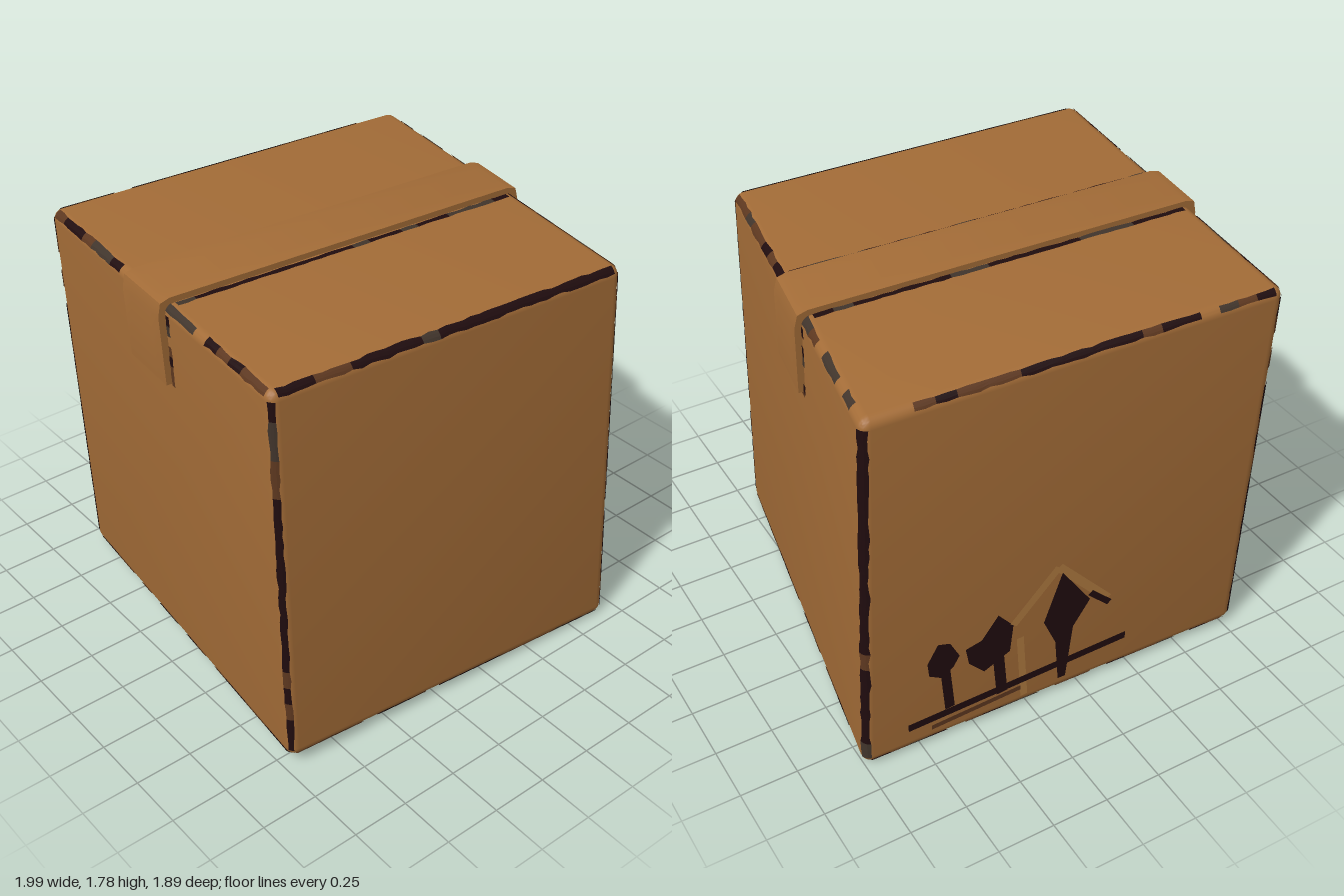
import * as THREE from 'three';
import { toCreasedNormals } from 'three/addons/utils/BufferGeometryUtils.js';
import { RoundedBoxGeometry } from 'three/addons/geometries/RoundedBoxGeometry.js';

const mat = (name, color, side = THREE.DoubleSide) => {
  const m = new THREE.MeshStandardMaterial({ color, side });
  m.name = name;
  return m;
};

// The eight corners of the crooked box: [x, y, z] by left/right, bottom/top, back/front
const corners = {
  '-1-1-1': [-0.79, 0.02, -0.94], '1-1-1': [1.01, 0.0, -0.87],
  '-11-1': [-0.84, 1.75, -0.95], '11-1': [0.95, 1.73, -0.87],
  '-1-11': [-0.98, 0.04, 0.82], '1-11': [0.68, 0.0, 0.945],
  '-111': [-0.99, 1.75, 0.77], '111': [0.67, 1.72, 0.86],
};

// Maps a point of the cube -1..1 into the crooked box
function warp(u, v, w) {
  const p = new THREE.Vector3();
  for (const i of [-1, 1]) for (const j of [-1, 1]) for (const k of [-1, 1]) {
    const c = corners[`${i}${j}${k}`];
    p.addScaledVector(new THREE.Vector3(...c), (1 + i * u) * (1 + j * v) * (1 + k * w) / 8);
  }
  return p;
}

function warpGeometry(geo) {
  const pos = geo.attributes.position;
  for (let i = 0; i < pos.count; i++) {
    const p = warp(pos.getX(i), pos.getY(i), pos.getZ(i));
    pos.setXYZ(i, p.x, p.y, p.z);
  }
  geo.computeVertexNormals();
  return geo;
}

export function createModel() {
  const group = new THREE.Group();
  group.name = 'cardboardBox';
  const cardboard = mat('cardboard', 0xa36c37, THREE.FrontSide);
  const ink = mat('darkInk', 0x1f0c0e);
  const brown = mat('wornBrown', 0x5c371f);
  const grey = mat('wornGrey', 0x40342b);
  const pale = mat('paleCardboard', 0xae7a40);

  let seed = 7;
  const rand = () => (seed = (seed * 16807) % 2147483647) / 2147483647;

  const add = (name, geo, material) => {
    const mesh = new THREE.Mesh(geo, material);
    mesh.name = name;
    group.add(mesh);
  };

  // Body with softly rounded edges
  const R = 0.05;
  add('body', toCreasedNormals(warpGeometry(new RoundedBoxGeometry(2, 2, 2, 4, R)), 0.6), cardboard);

  // Tape: a bent band over the top and down both sides
  const outer = [[1.028, 0.6], [1.035, 0.95], [1.02, 1.015], [0.97, 1.03]];
  const inner = [[0.93, 0.97], [0.98, 0.93], [0.98, 0.6]];
  const flip = (pts) => pts.map(([x, y]) => [-x, y]).reverse();
  const profile = [...outer, ...flip(outer), ...flip(inner), ...inner];
  // inner side runs back from left to right
  const tapeShape = new THREE.Shape([
    ...outer, ...flip(outer), ...inner.map(([x, y]) => [-x, y]).reverse(), ...inner,
  ].map(([x, y]) => new THREE.Vector2(x, y)));
  const tape = new THREE.ExtrudeGeometry(tapeShape, { depth: 0.33, steps: 4, bevelEnabled: false });
  tape.translate(0, 0, -0.19);
  add('tape', toCreasedNormals(warpGeometry(tape), 0.7), cardboard);

  // Ragged strip in changing colours; at(t, s) runs along and across it
  function wornStrip(name, at, n, [pInk, pBrown, pGrey]) {
    const parts = [[ink, []], [brown, []], [grey, []]];
    const widths = Array.from({ length: n + 1 }, () => [-0.6 - 0.4 * rand(), 0.6 + 0.4 * rand()]);
    let pick = 0;
    for (let i = 0; i < n; i++) {
      if (i % 2 === 0) {
        const r = rand();
        pick = r < pInk ? 0 : r < pInk + pBrown ? 1 : r < pInk + pBrown + pGrey ? 2 : 3;
      }
      if (pick === 3) continue;
      const cols = 3;
      const q = (row, c) => {
        const [lo, hi] = widths[row];
        return warp(...at(row / n * 2 - 1, lo + (hi - lo) * c / cols));
      };
      for (let c = 0; c < cols; c++) {
        const [a, b, d, e] = [q(i, c), q(i + 1, c), q(i + 1, c + 1), q(i, c + 1)];
        for (const p of [a, b, d, a, d, e]) parts[pick][1].push(p.x, p.y, p.z);
      }
    }
    for (const [material, xyz] of parts) {
      if (!xyz.length) continue;
      const geo = new THREE.BufferGeometry();
      geo.setAttribute('position', new THREE.Float32BufferAttribute(xyz, 3));
      geo.computeVertexNormals();
      add(name, geo, material);
    }
  }

  // Worn box edges, wrapped round the rounding
  function wornEdge(name, axis, sj, sk, weights, span = 0.42) {
    wornStrip(name, (t, s) => {
      const a = Math.PI / 4 + s * span, out = R + 0.004, p = [0, 0, 0];
      p[axis] = t * 0.955;
      p[(axis + 1) % 3] = sj * (1 - R + out * Math.cos(a));
      p[(axis + 2) % 3] = sk * (1 - R + out * Math.sin(a));
      return p;
    }, 40, weights);
  }
  wornEdge('frontRightEdge', 1, 1, 1, [0.75, 0.1, 0.1]);
  wornEdge('frontLeftEdge', 1, 1, -1, [0.75, 0.1, 0.1]);
  wornEdge('backRightEdge', 1, -1, 1, [0.9, 0.05, 0.05], 0.6);
  wornEdge('backLeftEdge', 1, -1, -1, [0.7, 0.1, 0.1]);
  wornEdge('topFrontEdge', 0, 1, 1, [0.65, 0.2, 0.15], 0.5);
  wornEdge('topBackEdge', 0, 1, -1, [0.45, 0.25, 0.1]);
  wornEdge('topRightEdge', 2, 1, 1, [0.2, 0.35, 0.2], 0.5);
  wornEdge('topLeftEdge', 2, -1, 1, [0.2, 0.35, 0.35], 0.5);
  wornEdge('bottomFrontEdge', 0, -1, 1, [0.3, 0.5, 0.05], 0.55);
  wornEdge('bottomBackEdge', 0, -1, -1, [0.2, 0.5, 0.1]);
  wornEdge('bottomRightEdge', 2, 1, -1, [0.25, 0.6, 0.05], 0.55);
  wornEdge('bottomLeftEdge', 2, -1, -1, [0.3, 0.4, 0.1]);

  // Dark lines beside the tape on the top and both sides
  for (const w of [-0.21, 0.165]) {
    wornStrip('tapeTopLine', (t, s) => [t * 0.95, 1.005, w + s * 0.019], 40, [0.65, 0.05, 0.3]);
    for (const side of [-1, 1])
      wornStrip('tapeSideLine', (t, s) => [side * 1.005, 0.78 + t * 0.18, w + s * 0.018], 14, [0.6, 0.2, 0.1]);
  }
  for (const side of [-1, 1])
    wornStrip('tapeEndLine', (t, s) => [side * 1.005, 0.595 + s * 0.014, -0.025 + t * 0.19], 12, [0.4, 0.3, 0]);

  // Printed scene low on the back; points run from the right edge (0) to the left (1), and up
  function print(name, pts, material, lift = 0.006) {
    const shape = new THREE.Shape(pts.map(([u, v]) => new THREE.Vector2(1 - 2 * u, 2 * v - 1)));
    const geo = new THREE.ShapeGeometry(shape);
    geo.translate(0, 0, -1 - lift);
    add(name, warpGeometry(geo), material);
  }
  const line = (name, [u0, v0], [u1, v1], w, material, lift) => {
    const l = Math.hypot(u1 - u0, v1 - v0), x = -(v1 - v0) / l * w, y = (u1 - u0) / l * w;
    print(name, [[u0 + x, v0 + y], [u1 + x, v1 + y], [u1 - x, v1 - y], [u0 - x, v0 - y]], material, lift);
  };
  print('roundTreeCrown', [[0.18, 0.31], [0.21, 0.3], [0.235, 0.25], [0.22, 0.22], [0.19, 0.2], [0.16, 0.22], [0.155, 0.26]], ink);
  line('roundTreeTrunk', [0.2, 0.22], [0.215, 0.09], 0.012, ink);
  print('wideTreeCrown', [[0.33, 0.33], [0.37, 0.28], [0.365, 0.2], [0.3, 0.165], [0.26, 0.21], [0.25, 0.26], [0.29, 0.27]], ink);
  line('wideTreeTrunk', [0.335, 0.2], [0.35, 0.07], 0.014, ink);
  print('tallTree', [[0.49, 0.39], [0.57, 0.27], [0.53, 0.2], [0.52, 0.04], [0.5, 0.04], [0.485, 0.17], [0.45, 0.25]], ink, 0.008);
  line('roofLeft', [0.37, 0.28], [0.48, 0.41], 0.011, pale);
  line('roofRight', [0.48, 0.41], [0.62, 0.25], 0.011, pale);
  line('roofTip', [0.57, 0.29], [0.625, 0.235], 0.008, ink, 0.008);
  line('post', [0.39, 0.23], [0.41, 0.03], 0.009, pale);
  line('groundLine', [0.11, 0.075], [0.68, 0.1], 0.011, ink, 0.009);
  line('pathLine', [0.17, 0.045], [0.4, 0.06], 0.007, brown);

  return group;
}
